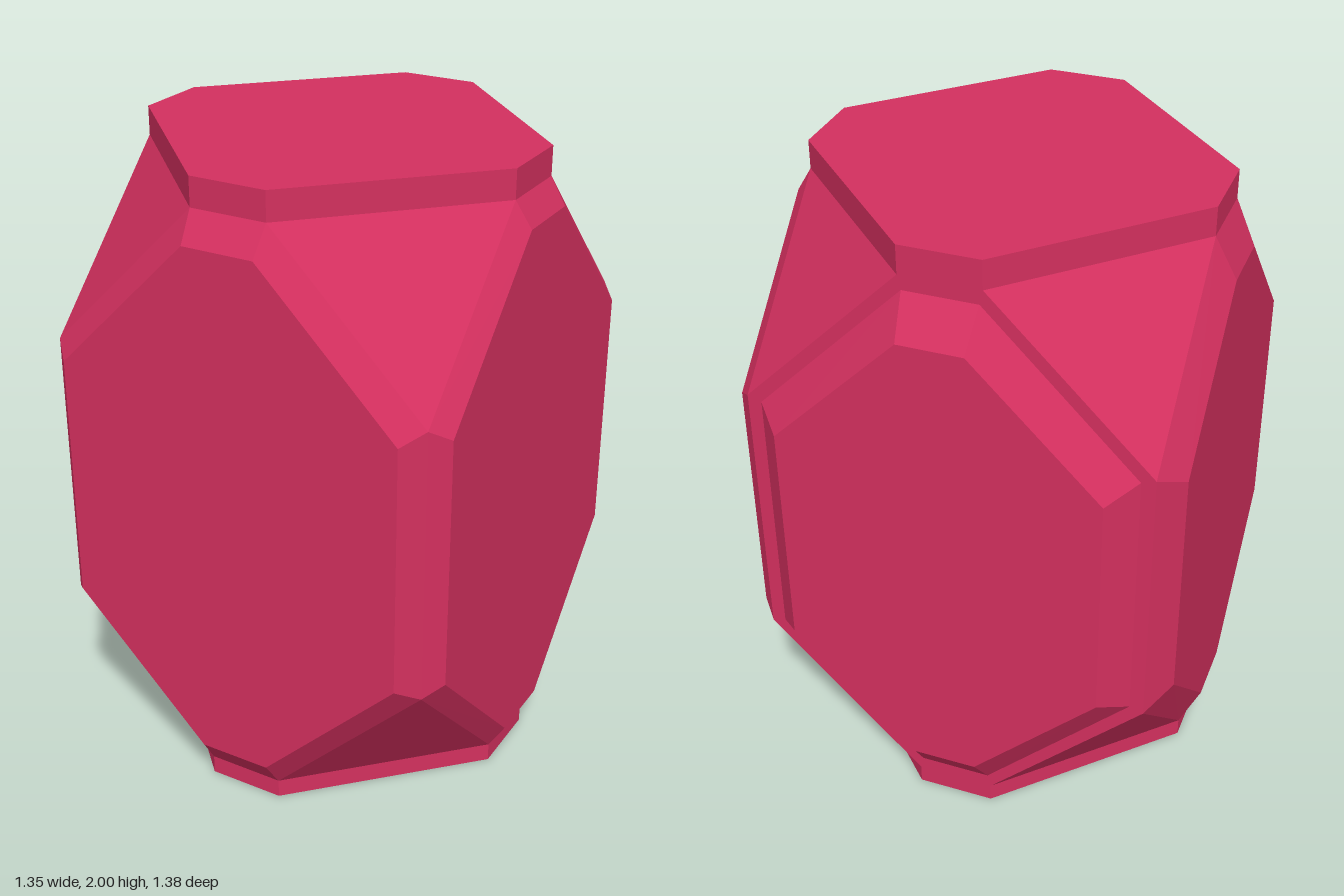
import * as THREE from 'three';
import { ConvexGeometry } from 'three/addons/geometries/ConvexGeometry.js';

const CX = 0.005, CY = 0.985, CZ = 0.012; // centre of the core block

// Eight-sided outline: half sizes hu, hv; half lengths of the straight sides su, sv
function octagon(hu, hv, su, sv) {
  return [[su, hv], [hu, sv], [hu, -sv], [su, -hv], [-su, -hv], [-hu, -sv], [-hu, sv], [-su, hv]];
}

export function createModel() {
  const group = new THREE.Group();
  const material = new THREE.MeshStandardMaterial({ color: 0xd4305f, flatShading: true });

  const addHull = (name, points) => {
    const mesh = new THREE.Mesh(new ConvexGeometry(points), material);
    mesh.name = name;
    group.add(mesh);
  };

  // Solid between outlines lying at given depths; place() maps (u, v, depth) to space
  const addSlab = (name, layers, place) =>
    addHull(name, layers.flatMap(([outline, depth]) => outline.map(([u, v]) => place(u, v, depth))));

  // Core: a tall block with its eight corners cut off
  const hx = 0.615, hy = 0.925, hz = 0.618, s = 0.122, sy = 0.432;
  const corePoints = [];
  for (const i of [-1, 1]) for (const j of [-1, 1]) for (const k of [-1, 1]) {
    for (const [x, y, z] of [[s, hy, hz], [hx, hy, s], [hx, sy, hz]]) {
      corePoints.push(new THREE.Vector3(CX + i * x, CY + j * y, CZ + k * z));
    }
  }
  addHull('core', corePoints);

  // Straight-sided caps at the top and bottom
  const cap = octagon(hx, hz, s, s);
  const onY = (u, v, d) => new THREE.Vector3(CX + u, d, CZ + v);
  addSlab('topCap', [[cap, 1.91], [cap, 2]], onY);
  addSlab('bottomCap', [[cap, 0], [cap, 0.06]], onY);

  // Raised side panels with bevelled edges
  const onZ = (u, v, d) => new THREE.Vector3(CX + u, CY + v, d);
  const onX = (u, v, d) => new THREE.Vector3(d, CY + v, CZ + u);
  addSlab('frontPanel', [[octagon(hx, hy, s, sy), 0.63], [octagon(0.557, 0.835, 0.115, 0.393), 0.69]], onZ);
  addSlab('backPanel', [[octagon(0.572, 0.88, 0.112, 0.417), -0.606], [octagon(0.493, 0.762, 0.1, 0.37), -0.69]], onZ);
  addSlab('leftPanel', [[octagon(hz, hy, s, sy), 0.62], [octagon(0.565, 0.845, 0.115, 0.395), 0.67]], onX);
  addSlab('rightPanel', [[octagon(hz, hy, s, sy), -0.61], [octagon(0.52, 0.79, 0.105, 0.38), -0.675]], onX);

  return group;
}
